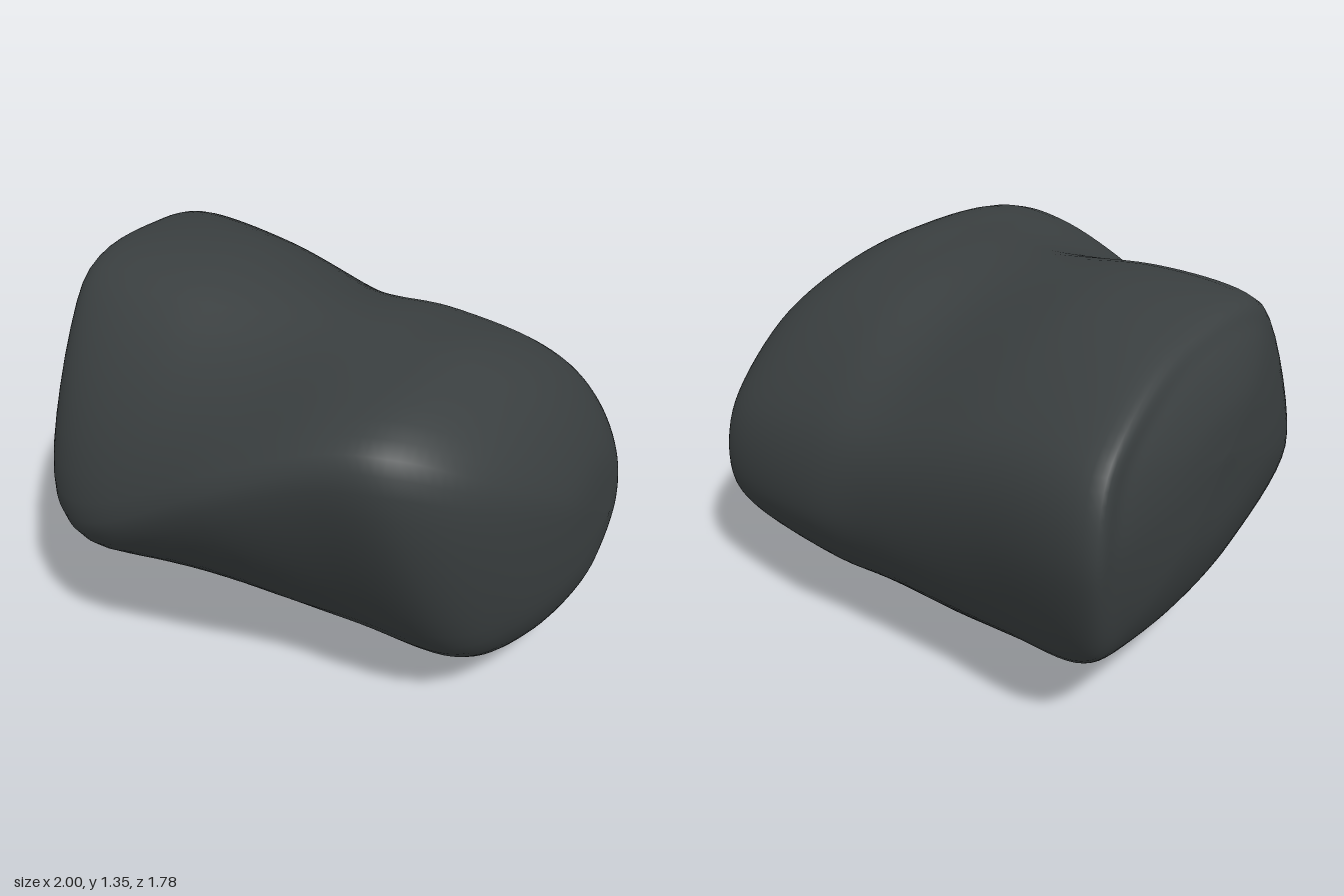
import * as THREE from 'three';
import { mergeVertices } from 'three/addons/utils/BufferGeometryUtils.js';

const V = (p) => new THREE.Vector3(...p);

// Cross-sections from the right end to the left end; each runs
// front edge, top, upper back, back corner, back, lower back, bottom, lower front.
const SECTIONS = [
  [[-.72, .56, .68], [-.81, 1.26, .27], [-.82, 1.31, -.3], [-.89, 1.12, -.79],
    [-.91, .8, -.885], [-.8, .35, -.7], [-.64, .14, -.3], [-.66, .22, .2]],
  [[-.45, .67, .81], [-.45, 1.28, .29], [-.45, 1.31, -.25], [-.45, 1.05, -.74],
    [-.45, .72, -.82], [-.45, .3, -.65], [-.42, .05, -.22], [-.45, .26, .37]],
  [[-.05, .92, .885], [0, 1.26, .25], [0, 1.19, -.25], [0, .9, -.7],
    [0, .6, -.77], [0, .29, -.62], [-.15, 0, -.18], [0, .32, .5]],
  [[.32, 1.09, .87], [.32, 1.26, .3], [.32, 1.17, -.27], [.32, .84, -.67],
    [.32, .5, -.74], [.32, .21, -.53], [.32, .015, -.02], [.32, .35, .55]],
  [[.59, 1.11, .82], [.58, 1.24, .25], [.64, 1.1, -.28], [.72, .76, -.61],
    [.74, .42, -.64], [.7, .17, -.4], [.64, .04, .06], [.67, .34, .56]],
].map((s) => s.map(V));

// Shrinks an end section towards its pole to form a rounded dome
function domeRing(section, pole, size, advance) {
  return section.map((p) => {
    const q = pole.clone().lerp(p, size);
    q.x = THREE.MathUtils.lerp(p.x, pole.x, advance);
    return q;
  });
}

function stoneGeometry() {
  const dome = [[0.8, 0.54], [0.43, 0.9], [0, 1]];
  const first = SECTIONS[0], last = SECTIONS[SECTIONS.length - 1];
  const poleA = V([-1, .92, -.2]), poleB = V([1, .53, -.18]);
  const rings = [
    ...dome.map((d) => domeRing(first, poleA, ...d)).reverse(),
    ...SECTIONS,
    ...dome.map((d) => domeRing(last, poleB, ...d)),
  ];

  // Smooth lengthwise tracks, then a smooth closed loop at every step
  const tracks = first.map((_, k) =>
    new THREE.CatmullRomCurve3(rings.map((r) => r[k]), false, 'catmullrom', 0.5));
  const steps = 80, around = 64, pos = [], index = [];
  for (let i = 0; i <= steps; i++) {
    const loop = new THREE.CatmullRomCurve3(
      tracks.map((t) => t.getPoint(i / steps)), true, 'catmullrom', 0.45);
    for (let j = 0; j < around; j++) {
      pos.push(...loop.getPoint(j / around).toArray());
      if (i === steps) continue;
      const a = i * around + j, b = i * around + (j + 1) % around;
      if (i < steps - 1) index.push(a + around, b + around, b);
      if (i > 0) index.push(a, a + around, b);
    }
  }
  const geo = new THREE.BufferGeometry();
  geo.setAttribute('position', new THREE.Float32BufferAttribute(pos, 3));
  geo.setIndex(index);
  const welded = mergeVertices(geo, 1e-5);
  welded.computeVertexNormals();
  return welded;
}

export function createModel() {
  const group = new THREE.Group();
  group.name = 'boulder';
  const stone = new THREE.Mesh(stoneGeometry(),
    new THREE.MeshStandardMaterial({ color: 0x3a3f40 }));
  stone.name = 'stone';
  group.add(stone);
  return group;
}
